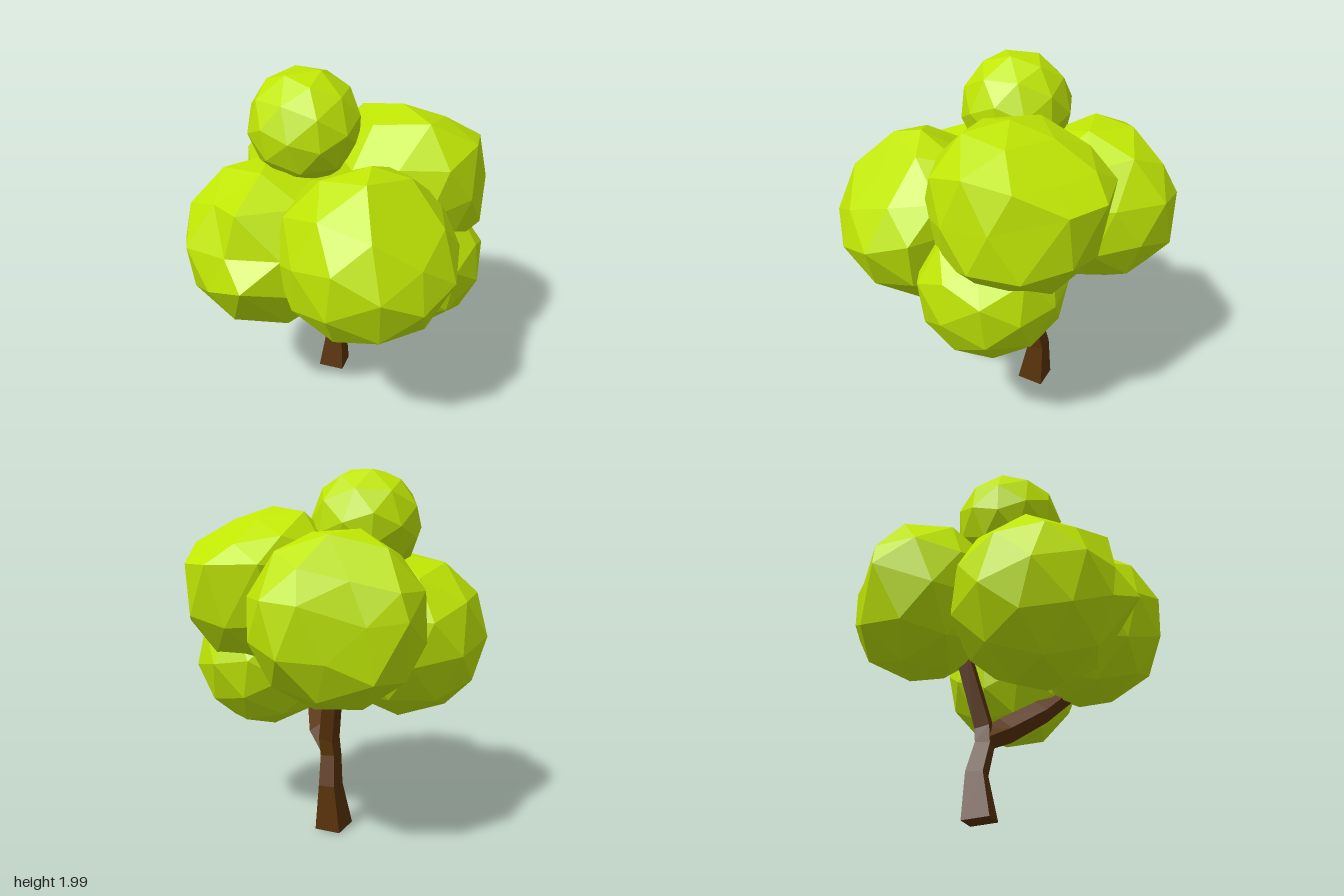
import * as THREE from 'three';

const leaf = new THREE.MeshStandardMaterial({ color: 0xbfe604, flatShading: true });
leaf.name = 'leaf green';
const bark = new THREE.MeshStandardMaterial({ color: 0x583209, flatShading: true });
bark.name = 'bark brown';

// Four-sided limb through sections [x, y, z, half diagonal], each square to the path.
function limb(name, sections) {
  const centres = sections.map(([x, y, z]) => new THREE.Vector3(x, y, z));
  const up = new THREE.Vector3(0, 1, 0);
  const rings = sections.map(([, , , r], i) => {
    const a = centres[Math.max(i - 1, 0)];
    const b = centres[Math.min(i + 1, centres.length - 1)];
    const turn = new THREE.Quaternion().setFromUnitVectors(up, b.clone().sub(a).normalize());
    return [0, 1, 2, 3].map((k) => {
      const t = 0.33 + Math.PI - k * Math.PI / 2;
      return new THREE.Vector3(Math.cos(t) * r, 0, Math.sin(t) * r).applyQuaternion(turn).add(centres[i]);
    });
  });
  const points = rings.flat();
  const index = [0, 3, 2, 0, 2, 1];
  for (let s = 0; s < rings.length - 1; s++) {
    for (let k = 0; k < 4; k++) {
      const a = s * 4 + k, b = s * 4 + (k + 1) % 4;
      index.push(a, b, b + 4, a, b + 4, a + 4);
    }
  }
  const e = points.length - 4;
  index.push(e, e + 1, e + 2, e, e + 2, e + 3);
  const geo = new THREE.BufferGeometry().setFromPoints(points);
  geo.setIndex(index);
  const flat = geo.toNonIndexed();
  flat.computeVertexNormals();
  const mesh = new THREE.Mesh(flat, bark);
  mesh.name = name;
  return mesh;
}

// Faceted leaf ball; each cut [nx, ny, nz, distance] presses its cap flat,
// and each corner [x, y, z] draws the nearest vertex out to that point.
function foliage(name, centre, radius, spin, cuts = [], corners = []) {
  const geo = new THREE.IcosahedronGeometry(radius, 1);
  geo.rotateX(spin).rotateY(spin * 1.7);
  const pos = geo.attributes.position;
  const points = Array.from({ length: pos.count }, (_, i) => new THREE.Vector3().fromBufferAttribute(pos, i));
  for (const [nx, ny, nz, d] of cuts) {
    const n = new THREE.Vector3(nx, ny, nz).normalize();
    for (const p of points) p.addScaledVector(n, -Math.max(0, p.dot(n) - d));
  }
  for (const corner of corners) {
    const target = new THREE.Vector3(...corner);
    const nearest = Math.min(...points.map((p) => p.distanceTo(target)));
    for (const p of points) if (p.distanceTo(target) < nearest + 0.001) p.copy(target);
  }
  geo.setFromPoints(points);
  geo.computeVertexNormals();
  const mesh = new THREE.Mesh(geo, leaf);
  mesh.name = name;
  mesh.position.set(...centre);
  return mesh;
}

export function createModel() {
  const tree = new THREE.Group();
  tree.name = 'tree';
  tree.add(
    // Trunk bends back into the rear branch; a second branch forks forward
    limb('trunk', [
      [0.11, 0.01, -0.13, 0.108], [0.134, 0.26, -0.134, 0.069], [0.11, 0.42, -0.103, 0.06],
      [0.12, 0.52, -0.1, 0.06], [0.175, 0.98, -0.24, 0.053],
    ]),
    limb('frontBranch', [
      [0.11, 0.45, -0.1, 0.06], [0.08, 0.525, 0.03, 0.075], [-0.02, 0.66, 0.22, 0.068], [-0.1, 0.87, 0.46, 0.06],
    ]),
    // Leaf balls
    foliage('topFoliage', [-0.1, 1.7, -0.14], 0.307, 0.3),
    foliage('upperLeftFoliage', [0.345, 1.375, 0.21], 0.47, 0.9,
      [[0.55, 0.83, 0, 0.35], [0, 1, 0, 0.425], [0, 0, 1, 0.44], [0.55, 0, 0.84, 0.425]],
      [[0.445, 0.115, 0.06], [0.445, 0.115, -0.18], [0.27, 0.12, -0.42], [-0.06, 0.08, -0.445]]),
    foliage('frontFoliage', [-0.218, 1.19, 0.41], 0.472, 0.5,
      [[0, 0.67, 0.74, 0.36], [-1, 0, 0, 0.435]], [[0.428, 0.06, 0], [0.02, 0.47, 0]]),
    foliage('backRightFoliage', [-0.34, 1.085, -0.19], 0.472, 1.3,
      [[-0.8, 0.6, 0.2, 0.42]], [[-0.458, -0.01, 0.29], [-0.36, 0.34, 0.17]]),
    foliage('backLeftFoliage', [0.295, 1.225, -0.43], 0.46, 0.75,
      [[0.36, 0.6, -0.7, 0.36], [0.47, 0, -0.88, 0.355]], [[0.36, 0.1, -0.2], [-0.09, 0.02, -0.44]]),
    foliage('lowerFrontFoliage', [0.275, 0.945, 0.32], 0.402, 0.15,
      [[0.2, 0.98, 0, 0.265]]),
  );
  return tree;
}
